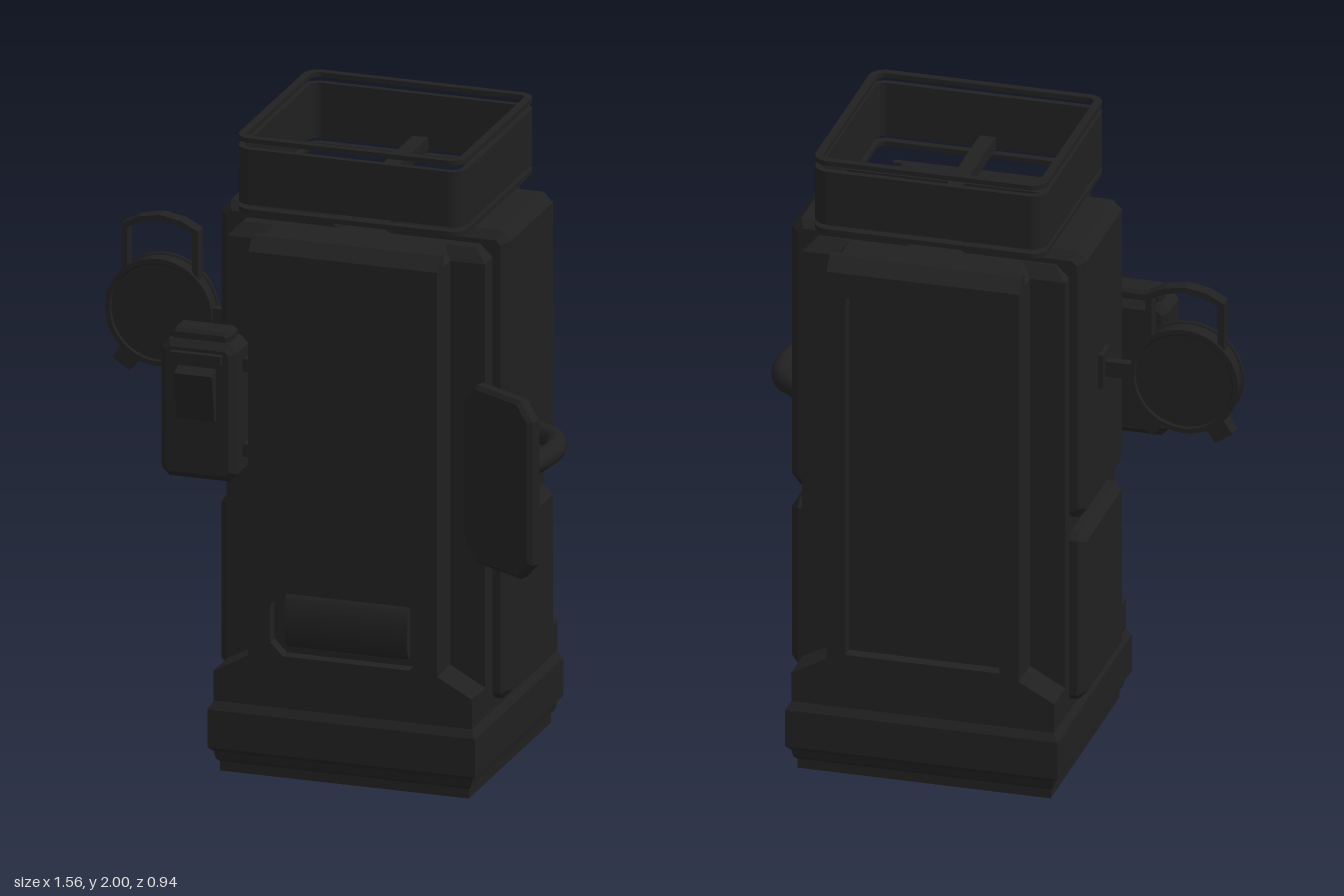
import * as THREE from 'three';

const COLOR = 0x202020;
const flat = new THREE.MeshStandardMaterial({ color: COLOR, flatShading: true });
const smooth = new THREE.MeshStandardMaterial({ color: COLOR });
const CX = 0.11, CZ = -0.07; // centre of the cabinet

function add(parent, name, geometry, material = flat, x = 0, y = 0, z = 0) {
  const mesh = new THREE.Mesh(geometry, material);
  mesh.name = name;
  mesh.position.set(x, y, z);
  parent.add(mesh);
  return mesh;
}

// Skin over horizontal outlines, each given as [height, [[x, z], ...]], with end caps
function loft(levels) {
  const pos = [];
  const n = levels[0][1].length;
  const p = (k, i) => {
    const [x, z] = levels[k][1][i % n];
    return [x, levels[k][0], z];
  };
  const last = levels.length - 1;
  for (let i = 0; i < n; i++) {
    for (let k = 0; k < last; k++) {
      pos.push(...p(k, i), ...p(k + 1, i), ...p(k, i + 1));
      pos.push(...p(k, i + 1), ...p(k + 1, i), ...p(k + 1, i + 1));
    }
    pos.push(0, levels[0][0], 0, ...p(0, i), ...p(0, i + 1));
    pos.push(0, levels[last][0], 0, ...p(last, i + 1), ...p(last, i));
  }
  const g = new THREE.BufferGeometry();
  g.setAttribute('position', new THREE.Float32BufferAttribute(pos, 3));
  g.computeVertexNormals();
  return g;
}

const rect = (w, d) => [[w, d], [-w, d], [-w, -d], [w, -d]];
const plus = (w, d, a, b) => [
  [w, b], [a, b], [a, d], [-a, d], [-a, b], [-w, b],
  [-w, -b], [-a, -b], [-a, -d], [a, -d], [a, -b], [w, -b]];

// Rectangle with cut corners, as 2D points
function cutRect(x0, y0, x1, y1, c) {
  return [[x0 + c, y0], [x1 - c, y0], [x1, y0 + c], [x1, y1 - c],
    [x1 - c, y1], [x0 + c, y1], [x0, y1 - c], [x0, y0 + c]];
}

const toV2 = (pts) => pts.map(([x, y]) => new THREE.Vector2(x, y));

// Extrusion of total thickness depth, centred on z, with a bevel kept inside the outline
function slab(pts, depth, bevel = 0, hole = null) {
  const shape = new THREE.Shape(toV2(pts));
  if (hole) shape.holes.push(new THREE.Path(toV2(hole)));
  const g = new THREE.ExtrudeGeometry(shape, {
    depth: depth - 2 * bevel, bevelEnabled: bevel > 0, bevelSize: bevel,
    bevelThickness: bevel, bevelOffset: -bevel, bevelSegments: 1 });
  return g.translate(0, 0, bevel - depth / 2);
}

function roundRect(target, w, d, r) {
  target.moveTo(-w + r, -d);
  target.lineTo(w - r, -d).absarc(w - r, -d + r, r, -Math.PI / 2, 0);
  target.lineTo(w, d - r).absarc(w - r, d - r, r, 0, Math.PI / 2);
  target.lineTo(-w + r, d).absarc(-w + r, d - r, r, Math.PI / 2, Math.PI);
  target.lineTo(-w, -d + r).absarc(-w + r, -d + r, r, Math.PI, Math.PI * 1.5);
  return target;
}

function frameRing(height, thick) {
  const w = 0.3625, d = 0.3375;
  const shape = roundRect(new THREE.Shape(), w, d, 0.05);
  shape.holes.push(roundRect(new THREE.Path(), w - thick, d - thick, 0.05 - thick));
  return new THREE.ExtrudeGeometry(shape, { depth: height, bevelEnabled: false, curveSegments: 6 })
    .rotateX(-Math.PI / 2);
}

function cabinet(root) {
  const g = new THREE.Group();
  g.name = 'cabinet';
  g.position.set(CX, 0, CZ);
  root.add(g);

  // Stepped plinth
  const steps = [[0, 0.395], [0.03, 0.395], [0.04, 0.405], [0.065, 0.41], [0.08, 0.425],
    [0.2, 0.425], [0.225, 0.41], [0.32, 0.41]];
  add(g, 'plinth', loft(steps.map(([y, w]) => [y, rect(w, w - 0.022)])));

  // Core with notched corners and a bevelled top
  add(g, 'core', loft([
    [0.3, plus(0.41, 0.35, 0.3, 0.27)],
    [1.66, plus(0.41, 0.35, 0.3, 0.27)],
    [1.7, plus(0.37, 0.35, 0.27, 0.24)]]));

  // Front and back facings with a recess, closed by a sloped cap
  const outline = [[-0.3, 0.31], [0.3, 0.31], [0.3, 1.66], [-0.3, 1.66]];
  add(g, 'frontFacing', slab(outline, 0.04, 0, cutRect(-0.23, 0.39, 0.25, 0.59, 0.04)), flat, 0, 0, 0.37);
  add(g, 'backFacing', slab(outline, 0.04, 0, cutRect(-0.24, 0.4, 0.24, 1.58, 0.001)), flat, 0, 0, -0.37);
  for (const s of [1, -1]) {
    const cap = [[s * 0.33, 1.66], [s * 0.39, 1.66], [s * 0.35, 1.7], [s * 0.33, 1.7]];
    add(g, s > 0 ? 'frontCap' : 'backCap', slab(cap, 0.6).rotateY(-Math.PI / 2));
  }

  // Rounded flap inside the front opening
  const flap = new THREE.CylinderGeometry(0.085, 0.085, 0.39, 24).rotateZ(Math.PI / 2).scale(1, 1, 0.35);
  add(g, 'openingFlap', flap, smooth, 0.005, 0.495, 0.35);

  for (const sx of [1, -1]) {
    // Sloped gussets at the foot of the corner notches
    for (const sz of [1, -1]) {
      add(g, 'cornerGusset', slab([[sx * 0.3, 0.31], [sx * 0.41, 0.31], [sx * 0.41, 0.32], [sx * 0.3, 0.38]], 0.12),
        flat, 0, 0, sz * 0.33);
    }
    // Upper pad folded over the top edge
    const fold = [[0.41, 0.86], [0.435, 0.86], [0.46, 0.89], [0.46, 1.71], [0.43, 1.74],
      [0.09, 1.74], [0.062, 1.71], [0.062, 1.65], [0.38, 1.65], [0.38, 0.86]];
    add(g, 'upperSidePad', slab(fold.map(([x, y]) => [sx * x, y]), 0.43, 0.025), flat, 0, 0, -0.015);
    // Lower pad
    const low = slab(cutRect(-0.215, 0.26, 0.215, 0.81, 0.02), 0.12, 0.025).rotateY(sx * Math.PI / 2);
    add(g, 'lowerSidePad', low, flat, sx * 0.4, 0, -0.015);
  }
}

function topFrame(root) {
  const g = new THREE.Group();
  g.name = 'topFrame';
  g.position.set(CX, 0, CZ);
  root.add(g);
  add(g, 'frameWall', frameRing(0.175, 0.02), flat, 0, 1.79);
  add(g, 'upperRing', frameRing(0.015, 0.025), flat, 0, 1.985);
  add(g, 'lowerRing', frameRing(0.015, 0.025), flat, 0, 1.76);
  add(g, 'crossBarX', new THREE.BoxGeometry(0.7, 0.04, 0.05), flat, 0, 1.81);
  add(g, 'crossBarZ', new THREE.BoxGeometry(0.05, 0.04, 0.65), flat, 0, 1.81);
  add(g, 'post', new THREE.BoxGeometry(0.05, 0.13, 0.05), flat, 0, 1.745);
}

// Angled octagonal plate on a bent arm
function sidePlate(root) {
  const g = new THREE.Group();
  g.name = 'sidePlate';
  root.add(g);
  const plate = add(g, 'plate', slab(cutRect(-0.155, -0.282, 0.155, 0.282, 0.055), 0.05, 0.012),
    flat, 0.633, 1.043, 0.37);
  plate.rotation.y = -Math.PI / 6;
  const path = new THREE.CatmullRomCurve3([[0.54, -0.045], [0.61, -0.04], [0.67, 0], [0.7, 0.07],
    [0.7, 0.17], [0.675, 0.27], [0.64, 0.36]].map(([x, z]) => new THREE.Vector3(x, 1.06, z)));
  add(g, 'bentArm', new THREE.TubeGeometry(path, 32, 0.033, 14), smooth);
}

// Switch box on the front right corner
function switchBox(root) {
  const g = new THREE.Group();
  g.name = 'switchBox';
  g.position.set(-0.345, 0, 0.27);
  root.add(g);
  add(g, 'housing', slab(cutRect(-0.12, 0.925, 0.12, 1.36, 0.025), 0.14, 0.02));
  add(g, 'lid', slab(cutRect(-0.092, 1.34, 0.092, 1.39, 0.012), 0.09, 0.01));
  add(g, 'brow', new THREE.BoxGeometry(0.16, 0.03, 0.03), flat, 0, 1.315, 0.075);
  const wedge = [[0.05, 1.11], [0.085, 1.12], [0.11, 1.27], [0.05, 1.29]];
  // the wedge is drawn in (z, y) and turned so that it spans x
  add(g, 'toggle', slab(wedge.map(([z, y]) => [-z, y]), 0.12).rotateY(Math.PI / 2));
  for (const y of [1.01, 1.28]) {
    add(g, 'hinge', new THREE.BoxGeometry(0.09, 0.04, 0.06), flat, 0.11, y, -0.03);
  }
}

// Round container with a carrying loop, held on a short arm
function drum(root) {
  const g = new THREE.Group();
  g.name = 'drum';
  g.position.set(-0.615, 1.29, -0.115);
  root.add(g);
  const profile = toV2([[0, -0.03], [0.15, -0.03], [0.155, -0.036], [0.17, -0.036], [0.17, -0.026],
    [0.163, -0.024], [0.163, 0.024], [0.17, 0.026], [0.17, 0.036], [0.155, 0.036], [0.15, 0.03], [0, 0.03]]);
  add(g, 'drumBody', new THREE.LatheGeometry(profile, 40).rotateX(Math.PI / 2), flat);

  // Carrying loop: outer arch, then the inner arch back
  const arch = (w, shoulder, top) => [[w, 0.1], [w, shoulder], [w * 0.55, top - 0.012], [0, top],
    [-w * 0.55, top - 0.012], [-w, shoulder], [-w, 0.1]];
  const loop = [...arch(0.122, 0.265, 0.305), ...arch(0.103, 0.255, 0.288).reverse()];
  add(g, 'carryLoop', slab(loop, 0.045));

  for (const s of [1, -1]) {
    const foot = add(g, 'drumFoot', new THREE.BoxGeometry(0.065, 0.08, 0.05), flat, s * 0.1, -0.145, 0);
    foot.rotation.z = s * 0.6;
  }
  add(g, 'holderArm', new THREE.BoxGeometry(0.16, 0.05, 0.03), flat, 0.22, 0, 0);
  add(g, 'holderBracket', new THREE.BoxGeometry(0.03, 0.11, 0.08), flat, 0.265, 0, 0);
}

export function createModel() {
  const root = new THREE.Group();
  root.name = 'kiosk';
  cabinet(root);
  topFrame(root);
  sidePlate(root);
  switchBox(root);
  drum(root);
  return root;
}
